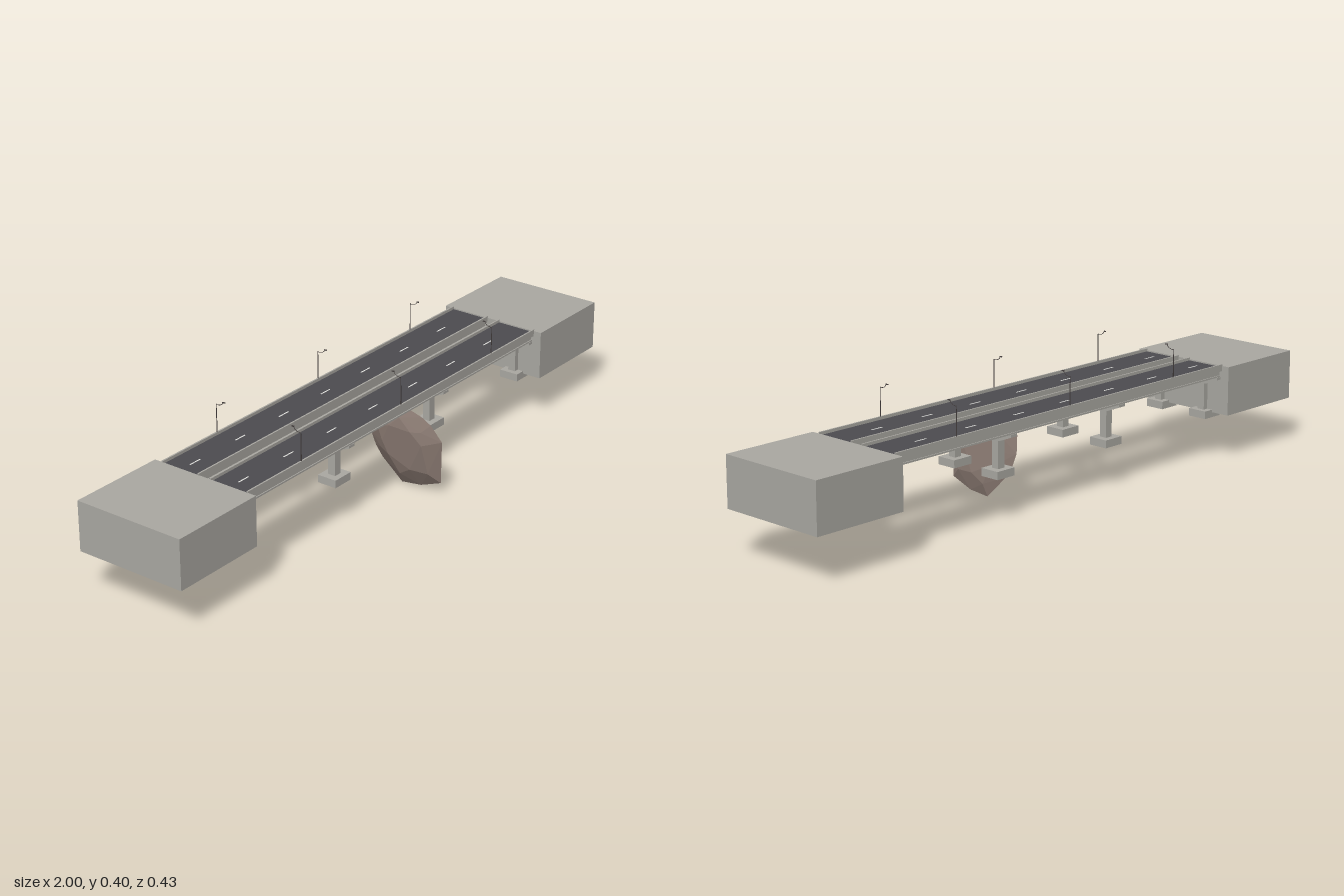
import * as THREE from 'three';
import { ConvexGeometry } from 'three/addons/geometries/ConvexGeometry.js';

const mat = (name, color) => {
  const m = new THREE.MeshStandardMaterial({ color });
  m.name = name;
  return m;
};

export function createModel() {
  const concrete = mat('concrete', 0xaaa8a2);
  const asphalt = mat('asphalt', 0x4c4b50);
  const paint = mat('lane paint', 0xe4e4e0);
  const metal = mat('lamp metal', 0x453f3e);
  const stone = mat('rock', 0x8a7a72);

  const model = new THREE.Group();
  model.name = 'roadBridge';
  const midZ = -0.032;

  const add = (parent, name, geometry, material) => {
    const mesh = new THREE.Mesh(geometry, material);
    mesh.name = name;
    parent.add(mesh);
    return mesh;
  };
  // Box given by its extents on each axis
  const box = (parent, name, material, x0, x1, y0, y1, z0, z1) => {
    const mesh = add(parent, name, new THREE.BoxGeometry(x1 - x0, y1 - y0, z1 - z0), material);
    mesh.position.set((x0 + x1) / 2, (y0 + y1) / 2, (z0 + z1) / 2);
    return mesh;
  };

  // Solid end blocks
  for (const s of [-1, 1]) {
    const block = box(model, 'abutment', concrete, -0.155, 0.155, 0.146, 0.3, midZ - 0.181, midZ + 0.181);
    block.position.x = s * 0.845;
  }

  // Two parallel carriageways; side +1 is the front one
  for (const side of [1, -1]) {
    const deck = new THREE.Group();
    deck.name = side > 0 ? 'frontDeck' : 'backDeck';
    deck.position.z = midZ + side * 0.0875;
    model.add(deck);

    box(deck, 'slab', concrete, -0.692, 0.692, 0.283, 0.293, -0.067, 0.067);
    box(deck, 'roadSurface', asphalt, -0.692, 0.692, 0.293, 0.296, -0.063, 0.063);
    for (const s of [-1, 1]) {
      const kerb = box(deck, 'parapet', concrete, -0.692, 0.692, 0.291, 0.305, -0.0025, 0.0025);
      kerb.position.z = s * 0.065;
    }

    // Longitudinal girders with bottom flanges
    for (let i = 0; i < 5; i++) {
      const z = -0.054 + i * 0.027;
      box(deck, 'girderWeb', concrete, -0.692, 0.692, 0.268, 0.283, z - 0.004, z + 0.004);
      box(deck, 'girderFlange', concrete, -0.692, 0.692, 0.264, 0.269, z - 0.007, z + 0.007);
    }

    // Dashed lane line
    for (let i = 0; i < 7; i++) {
      const x = -0.63 + i * 0.194;
      box(deck, 'laneDash', paint, x - 0.021, x + 0.021, 0.296, 0.2968, -0.002, 0.002);
    }

    // Street lamps on the outer parapet, arms reaching over the road
    for (const x of [-0.46, 0, 0.46]) {
      const lamp = new THREE.Group();
      lamp.name = 'streetLamp';
      lamp.position.set(x, 0, side * 0.065);
      deck.add(lamp);
      const pole = add(lamp, 'lampPole', new THREE.CylinderGeometry(0.0009, 0.0018, 0.09, 6), metal);
      pole.position.y = 0.347;
      const arm = new THREE.CatmullRomCurve3([
        [0.39, 0], [0.391, 0.01], [0.395, 0.02], [0.403, 0.026],
      ].map(([y, z]) => new THREE.Vector3(0, y, -side * z)));
      add(lamp, 'lampArm', new THREE.TubeGeometry(arm, 8, 0.0009, 5), metal);
      const head = box(lamp, 'lampHead', metal, -0.002, 0.002, 0.402, 0.4045, -0.004, 0.004);
      head.position.z = -side * 0.028;
    }
  }

  // Pier cap with tapered ends, extruded along x
  const capShape = new THREE.Shape([
    [-0.15, 0.264], [-0.15, 0.256], [-0.105, 0.238], [0.105, 0.238], [0.15, 0.256], [0.15, 0.264],
  ].map(([z, y]) => new THREE.Vector2(z, y)));
  const capGeometry = new THREE.ExtrudeGeometry(capShape, { depth: 0.026, bevelEnabled: false });
  capGeometry.translate(0, 0, -0.013);
  capGeometry.rotateY(Math.PI / 2);

  // Four pier frames, each with two columns on footings
  for (const [x, footX] of [[-0.686, -0.692], [-0.23, -0.23], [0.23, 0.23], [0.686, 0.692]]) {
    const pier = new THREE.Group();
    pier.name = 'pier';
    pier.position.z = midZ;
    model.add(pier);
    add(pier, 'pierCap', capGeometry, concrete).position.x = x;
    for (const s of [-1, 1]) {
      const z = s * 0.087;
      box(pier, 'column', concrete, x - 0.0125, x + 0.0125, 0.15, 0.242, z - 0.0125, z + 0.0125);
      box(pier, 'footing', concrete, footX - 0.035, footX + 0.035, 0.13, 0.154, z - 0.032, z + 0.032);
    }
  }

  // Faceted boulder: a slab-like hull around a rim in the z-y plane
  const rim = [
    [0.2, 0.036], [0.128, 0.008], [0.06, 0], [-0.005, 0.07], [-0.025, 0.105], [-0.037, 0.145],
    [-0.033, 0.2], [0.015, 0.255], [0.08, 0.273], [0.15, 0.248], [0.18, 0.228], [0.215, 0.18], [0.203, 0.11],
  ];
  const centre = [0.09, 0.14];
  const points = [];
  rim.forEach(([z, y], i) => {
    const lean = (py, pz) => 0.075 + (0.14 - py) * 0.13 + (pz - 0.09) * 0.05;
    points.push(new THREE.Vector3(lean(y, z), y, z));
    // Inner rings bulge out on both faces
    const k = i % 2 ? 0.55 : 0.72;
    const pz = centre[0] + (z - centre[0]) * k;
    const py = centre[1] + (y - centre[1]) * k;
    const bulge = i % 2 ? 0.027 : 0.019;
    points.push(new THREE.Vector3(lean(py, pz) - bulge, py, pz));
    points.push(new THREE.Vector3(lean(py, pz) + bulge * 0.85, py, pz));
  });
  add(model, 'boulder', new ConvexGeometry(points), stone);

  return model;
}
